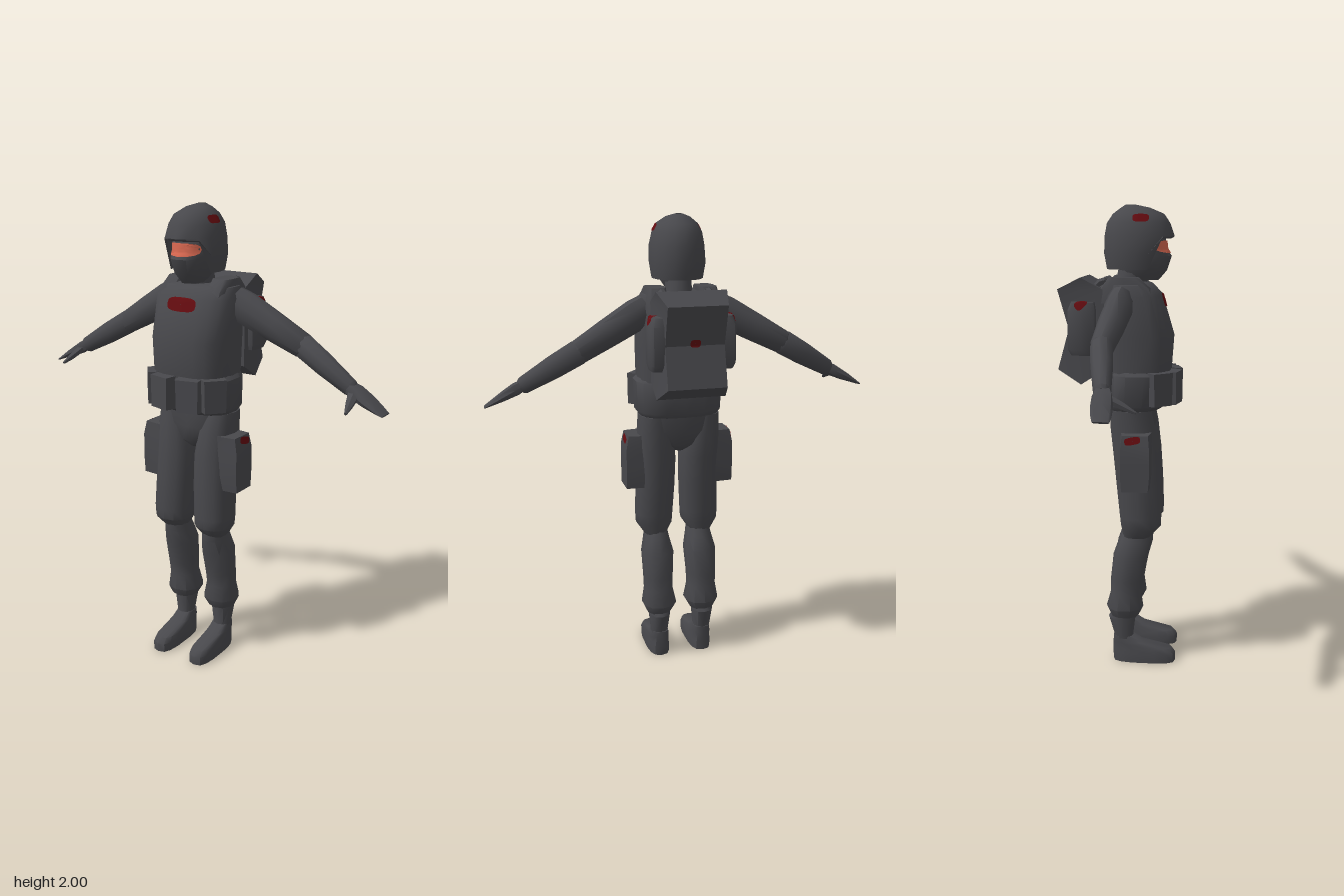
import * as THREE from 'three';
import { mergeVertices, toCreasedNormals } from 'three/addons/utils/BufferGeometryUtils.js';

const mat = (name, color, side = THREE.DoubleSide) => {
  const m = new THREE.MeshStandardMaterial({ color, side });
  m.name = name;
  return m;
};

// signed power, used for squarish cross-sections
const spow = (v, e) => Math.sign(v) * Math.pow(Math.abs(v), e);

// Closed loft through horizontal rings [centreX, y, zBack, zFront, halfWidth], bottom to top
function loft(rings, n = 12, p = 2, caps = true) {
  const pos = [], idx = [];
  for (const [cx, y, z0, z1, rx] of rings) {
    for (let i = 0; i < n; i++) {
      const a = (i / n) * Math.PI * 2;
      pos.push(cx + rx * spow(Math.sin(a), 2 / p), y, (z0 + z1) / 2 + ((z1 - z0) / 2) * spow(Math.cos(a), 2 / p));
    }
  }
  for (let j = 0; j < rings.length - 1; j++) {
    for (let i = 0; i < n; i++) {
      const a = j * n + i, b = j * n + ((i + 1) % n);
      idx.push(a, b, b + n, a, b + n, a + n);
    }
  }
  if (caps) {
    const top = (rings.length - 1) * n, c = rings.length * n;
    for (const r of [rings[0], rings[rings.length - 1]]) pos.push(r[0], r[1], (r[2] + r[3]) / 2);
    for (let i = 0; i < n; i++) {
      const k = (i + 1) % n;
      idx.push(c, k, i, c + 1, top + i, top + k);
    }
  }
  const g = new THREE.BufferGeometry();
  g.setAttribute('position', new THREE.Float32BufferAttribute(pos, 3));
  g.setIndex(idx);
  return g;
}

// Limb between two points; profile entries are [fraction, thickness, depth]
function limb(from, to, profile, n = 10, p = 2) {
  const a = new THREE.Vector3(...from), d = new THREE.Vector3(...to).sub(a), len = d.length();
  const g = loft(profile.map(([t, rx, rz]) => [0, t * len, -rz, rz, rx]), n, p);
  g.applyQuaternion(new THREE.Quaternion().setFromUnitVectors(new THREE.Vector3(0, 1, 0), d.normalize()));
  return g.translate(a.x, a.y, a.z);
}

// Move every vertex by a rule
function warp(g, rule) {
  const p = g.attributes.position, v = new THREE.Vector3();
  for (let i = 0; i < p.count; i++) {
    rule(v.fromBufferAttribute(p, i));
    p.setXYZ(i, v.x, v.y, v.z);
  }
  return g;
}

// Mirrored copy across x = 0 with corner order restored
function mirrored(geo) {
  const g = geo.index ? geo.toNonIndexed() : geo.clone();
  warp(g, v => { v.x = -v.x; });
  const a = g.attributes.position.array;
  for (let i = 0; i < a.length; i += 9) {
    for (let k = 0; k < 3; k++) [a[i + 3 + k], a[i + 6 + k]] = [a[i + 6 + k], a[i + 3 + k]];
  }
  return g;
}

export function createModel() {
  const model = new THREE.Group();
  const grey = mat('charcoal fabric', 0x48484c);
  const red = mat('dark red patch', 0x640c10);
  const skin = mat('skin', 0xd4664f);

  const add = (name, geo, material = grey, crease = 0.75) => {
    const mesh = new THREE.Mesh(toCreasedNormals(geo, crease), material);
    mesh.name = name;
    model.add(mesh);
    return mesh;
  };
  const pair = (name, geo) => [add('left' + name, geo), add('right' + name, mirrored(geo))];

  // Thin patch laid onto a mesh by casting each point along dir
  const ray = new THREE.Raycaster();
  const patch = (name, mesh, centre, dir, w, h, material = red) => {
    const d = new THREE.Vector3(...dir).normalize();
    const q = new THREE.Quaternion().setFromUnitVectors(new THREE.Vector3(0, 0, 1), d.clone().negate());
    if (d.z > 0.99) q.setFromAxisAngle(new THREE.Vector3(0, 1, 0), Math.PI);
    const g = new THREE.RingGeometry(0.02, 1, 16, 4);
    mesh.updateMatrixWorld(true);
    warp(g, v => {
      const l = Math.hypot(v.x, v.y), a = Math.atan2(v.y, v.x);
      v.set(l * w * spow(Math.cos(a), 0.6), l * h * spow(Math.sin(a), 0.6), 0);
      v.applyQuaternion(q).add(new THREE.Vector3(...centre));
      ray.set(v.clone().addScaledVector(d, -0.5), d);
      const hit = ray.intersectObject(mesh)[0];
      if (hit) v.copy(hit.point);
      v.addScaledVector(d, -0.005);
    });
    g.deleteAttribute('normal');
    g.deleteAttribute('uv');
    add(name, mergeVertices(g), material);
  };

  // Head, eye opening and helmet
  const head = add('balaclavaHead', loft([
    [0, 1.69, 0.0, 0.15, 0.045], [0, 1.73, -0.02, 0.185, 0.07], [0, 1.79, -0.03, 0.205, 0.082],
    [0, 1.82, -0.03, 0.185, 0.086], [0, 1.86, -0.03, 0.18, 0.086], [0, 1.92, 0, 0.14, 0.06]], 14));
  patch('eyeOpening', head, [0, 1.828, 0.2], [0, 0, -1], 0.073, 0.026, skin);
  add('neck', loft([[0, 1.6, -0.05, 0.1, 0.07], [0, 1.67, -0.035, 0.1, 0.06], [0, 1.74, -0.02, 0.11, 0.055]]));
  const shell = loft([
    [0, 1.735, -0.07, 0.19, 0.108], [0, 1.8, -0.082, 0.2, 0.119], [0, 1.872, -0.08, 0.216, 0.115],
    [0, 1.925, -0.07, 0.197, 0.104], [0, 1.962, -0.045, 0.172, 0.084], [0, 1.988, -0.01, 0.11, 0.05],
    [0, 2, 0.01, 0.05, 0.015]], 16, 2, false);
  const helmet = add('helmet', warp(shell, v => {
    if (v.y < 1.85 && v.z > 0.13) v.set(v.x * 1.02, 1.862 + (v.y - 1.735) * 0.07, v.z + 0.012);
  }));
  for (const s of [1, -1]) patch('helmetPatch', helmet, [s * 0.1, 1.945, 0.08], [-s, 0, 0], 0.034, 0.016);

  // Vest, shoulder straps and belt
  const vest = add('vest', loft([
    [0, 1.2, -0.08, 0.19, 0.17], [0, 1.31, -0.085, 0.21, 0.178], [0, 1.46, -0.095, 0.22, 0.18],
    [0, 1.63, -0.09, 0.168, 0.184], [0, 1.675, -0.075, 0.125, 0.165], [0, 1.685, -0.05, 0.09, 0.11]], 20, 2.8));
  patch('chestPatch', vest, [0, 1.608, 0.2], [0, 0, -1], 0.07, 0.028);
  pair('ShoulderStrap', loft([
    [0.115, 1.6, -0.095, 0.15, 0.045], [0.115, 1.66, -0.085, 0.125, 0.045], [0.11, 1.705, -0.05, 0.075, 0.04]], 12, 4));
  add('belt', loft([
    [0, 1.15, -0.07, 0.17, 0.175], [0, 1.17, -0.085, 0.2, 0.19], [0, 1.3, -0.085, 0.215, 0.192],
    [0, 1.315, -0.08, 0.205, 0.178]], 18, 2.6));
  const pouch = (w, h, d) => warp(new THREE.BoxGeometry(w, h, d), v => {
    if (v.z > 0) { v.x *= 0.92; v.y *= 0.95; }
    if (v.y < 0) v.x *= 0.94;
  });
  pair('FrontPouch', pouch(0.108, 0.145, 0.07).rotateY(0.24).translate(0.063, 1.243, 0.212));
  pair('SidePouch', pouch(0.105, 0.145, 0.07).rotateY(0.88).translate(0.147, 1.245, 0.162));

  // Arms and hands
  pair('UpperArm', limb([0.15, 1.615, 0.01], [0.465, 1.445, -0.042],
    [[0, 0.065, 0.05], [0.16, 0.07, 0.054], [0.55, 0.062, 0.053], [0.95, 0.052, 0.045], [1, 0.038, 0.034]]));
  pair('Forearm', limb([0.435, 1.462, -0.042], [0.69, 1.315, -0.01],
    [[0, 0.044, 0.038], [0.06, 0.054, 0.045], [0.45, 0.05, 0.043], [0.95, 0.037, 0.034], [1, 0.028, 0.026]]));
  pair('Hand', limb([0.665, 1.33, -0.01], [0.838, 1.238, 0.002],
    [[0, 0.022, 0.026], [0.25, 0.027, 0.038], [0.55, 0.02, 0.041], [0.8, 0.011, 0.038], [1, 0.004, 0.031]], 8, 3));
  pair('Thumb', limb([0.705, 1.3, 0.015], [0.722, 1.252, 0.115],
    [[0, 0.026, 0.018], [0.55, 0.017, 0.014], [1, 0.006, 0.006]], 6));

  // Pelvis and legs
  add('pelvis', loft([
    [0, 0.98, 0.01, 0.1, 0.025], [0, 1.01, -0.03, 0.13, 0.075], [0, 1.08, -0.055, 0.145, 0.15],
    [0, 1.18, -0.06, 0.145, 0.18]], 14, 2.3));
  pair('Thigh', loft([
    [0.105, 0.585, 0.01, 0.13, 0.05], [0.106, 0.635, 0, 0.175, 0.083], [0.106, 0.68, -0.005, 0.177, 0.086],
    [0.1, 0.82, -0.02, 0.172, 0.087], [0.098, 0.95, -0.033, 0.163, 0.087], [0.105, 1.07, -0.045, 0.148, 0.079],
    [0.115, 1.15, -0.045, 0.13, 0.065]], 12, 2.3));
  pair('Shin', loft([
    [0.102, 0.215, -0.045, 0.08, 0.058], [0.1, 0.255, -0.064, 0.1, 0.079], [0.102, 0.325, -0.045, 0.09, 0.066],
    [0.102, 0.385, -0.045, 0.1, 0.067], [0.1, 0.5, -0.033, 0.122, 0.073], [0.1, 0.565, -0.01, 0.14, 0.057],
    [0.1, 0.62, 0.02, 0.14, 0.048]], 10, 2.2));
  pair('BootShaft', loft([
    [0.1, 0.08, -0.03, 0.065, 0.04], [0.102, 0.12, -0.03, 0.055, 0.039], [0.102, 0.205, -0.055, 0.065, 0.048],
    [0.102, 0.23, -0.04, 0.06, 0.046]], 10, 2.3));
  pair('Boot', loft([
    [0.1, 0, -0.033, 0.244, 0.05], [0.1, 0.04, -0.035, 0.245, 0.051], [0.1, 0.062, -0.035, 0.225, 0.046],
    [0.1, 0.09, -0.034, 0.1, 0.043], [0.1, 0.118, -0.032, 0.055, 0.038]], 14, 3));

  // Thigh pockets with patches on their sloping upper faces
  const pocket = warp(new THREE.BoxGeometry(0.1, 0.24, 0.135, 1, 4, 1), v => {
    if (v.y > 0.1 && v.x > 0) { v.x -= 0.012; v.z *= 0.9; }
    if (v.y < -0.1) v.z *= 0.92;
    if (v.x > 0) v.z *= 0.9;
  }).translate(0.193, 0.94, 0.07);
  pair('ThighPocket', pocket).forEach((m, i) => {
    const s = i ? -1 : 1;
    patch('pocketPatch', m, [s * 0.24, 1.04, 0.06], [-s, -0.2, 0], 0.034, 0.016);
  });

  // Backpack: side profile extruded across x, narrower at the rear
  const outline = [[-0.07, 1.32], [-0.165, 1.26], [-0.265, 1.32], [-0.218, 1.49], [-0.265, 1.655], [-0.165, 1.705], [-0.07, 1.655]];
  const packGeo = new THREE.ExtrudeGeometry(new THREE.Shape(outline.map(p => new THREE.Vector2(...p))),
    { depth: 0.3, bevelEnabled: false });
  packGeo.translate(0, 0, -0.15).rotateY(-Math.PI / 2);
  const pack = add('backpack', warp(packGeo, v => { if (v.z < -0.2) v.x *= 0.84; }), grey, 0.3);
  patch('packPatch', pack, [0, 1.5, -0.25], [0, 0, 1], 0.022, 0.016);
  pair('PackPocket', loft([
    [0.14, 1.385, -0.205, -0.105, 0.035], [0.14, 1.41, -0.22, -0.098, 0.043], [0.14, 1.57, -0.22, -0.098, 0.043],
    [0.14, 1.605, -0.205, -0.105, 0.03]], 12, 4)).forEach((m, i) => {
    const s = i ? -1 : 1;
    patch('packPocketPatch', m, [s * 0.165, 1.59, -0.16], [-s, -1, 0], 0.028, 0.02);
  });

  // Pack shoulder straps
  const strapPath = new THREE.CatmullRomCurve3([[0.09, 1.66, -0.09], [0.1, 1.69, -0.05], [0.1, 1.675, -0.1], [0.1, 1.6, -0.1]]
    .map(p => new THREE.Vector3(...p)));
  pair('PackStrap', new THREE.TubeGeometry(strapPath, 8, 0.016, 6));
  return model;
}
